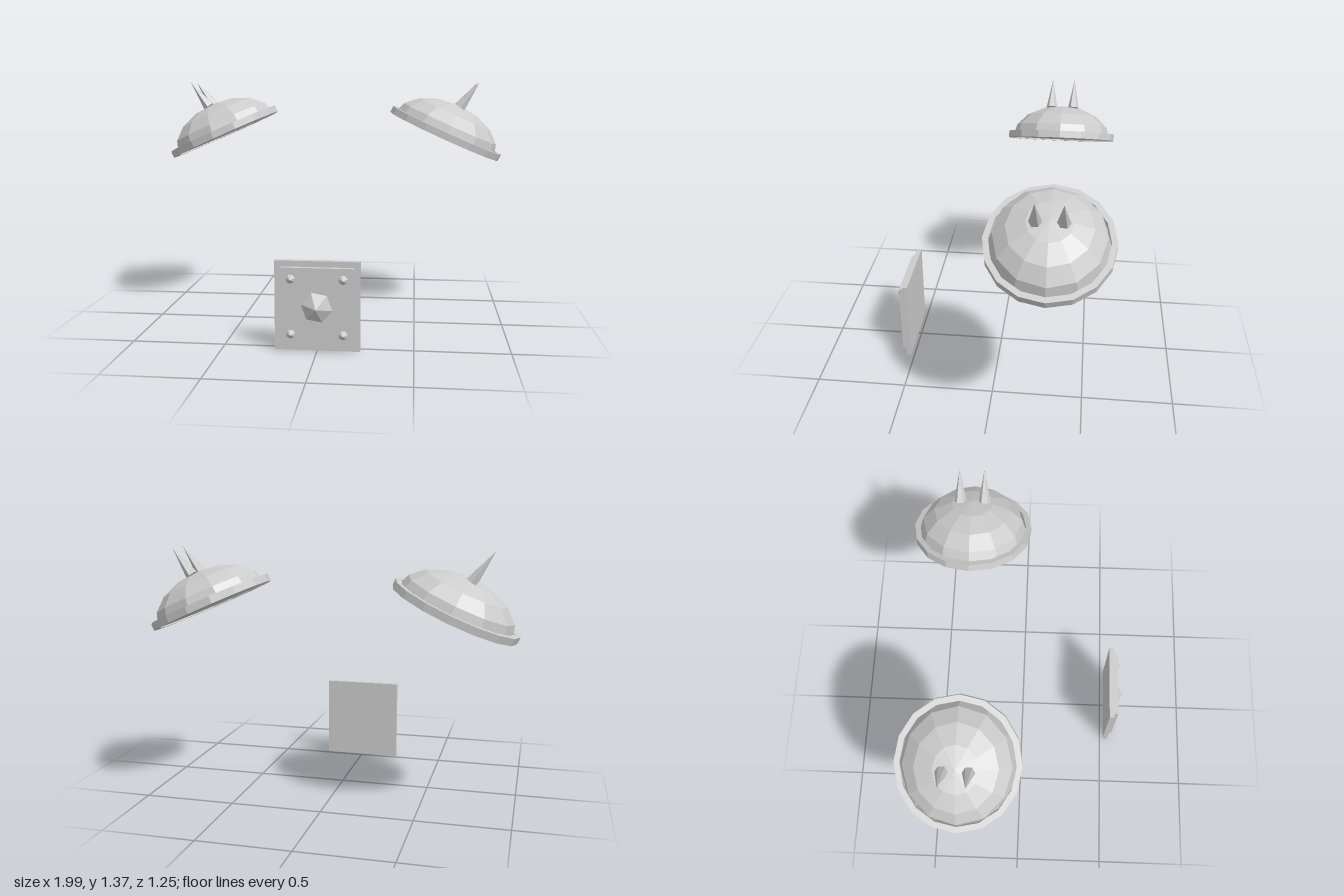
import * as THREE from 'three';

const material = new THREE.MeshStandardMaterial({ color: 0xcccccc, flatShading: true });

function add(parent, name, geometry, x = 0, y = 0, z = 0) {
  const mesh = new THREE.Mesh(geometry, material);
  mesh.name = name;
  mesh.position.set(x, y, z);
  parent.add(mesh);
  return mesh;
}

// Domed shoulder guard on the +x side, centred on z = 0
function createShoulder(name) {
  const shoulder = new THREE.Group();
  shoulder.name = name;

  // Tilted shell, slightly narrower front to back
  const shell = new THREE.Group();
  shell.name = 'shell';
  shell.position.set(0.66, 1.0575, 0);
  shell.rotation.z = THREE.MathUtils.degToRad(-24);
  shell.scale.z = 0.922;
  shoulder.add(shell);

  const dome = add(shell, 'dome', new THREE.SphereGeometry(0.322, 12, 4, 0, Math.PI * 2, 0, Math.PI / 2), 0, 0.008, 0);
  dome.scale.y = 0.6;

  // Square-edged band around the dome
  const band = [[0.318, 0], [0.35, 0], [0.35, 0.04], [0.318, 0.04], [0.318, 0]]
    .map(([r, y]) => new THREE.Vector2(r, y));
  add(shell, 'rim', new THREE.LatheGeometry(band, 16));

  // Closed underside
  const base = new THREE.CircleGeometry(0.322, 32);
  base.rotateX(Math.PI / 2);
  add(shell, 'underside', base, 0, 0.008, 0);

  // Pair of spikes leaning outwards
  for (const z of [-0.066, 0.066]) {
    const geometry = new THREE.ConeGeometry(0.033, 0.18, 6);
    geometry.translate(0, 0.09, 0);
    const spike = add(shoulder, 'spike', geometry, 0.748, 1.23, z);
    spike.rotation.z = -0.635;
  }
  return shoulder;
}

// Cone whose point faces +z, with its base on z = 0
function stud(radius, height, sides) {
  const geometry = new THREE.ConeGeometry(radius, height, sides);
  geometry.translate(0, height / 2, 0);
  geometry.rotateX(Math.PI / 2);
  return geometry;
}

// Stepped square plate with a central boss and corner studs
function createPlate() {
  const plate = new THREE.Group();
  plate.name = 'frontPlate';
  add(plate, 'backPlate', new THREE.BoxGeometry(0.445, 0.475, 0.028), 0, 0.2375, 0.533);
  add(plate, 'raisedPlate', new THREE.BoxGeometry(0.382, 0.414, 0.026), 0, 0.2375, 0.56);

  const boss = add(plate, 'centreBoss', stud(0.083, 0.051, 6), 0, 0.2375, 0.573);
  boss.rotation.z = THREE.MathUtils.degToRad(20);

  for (const x of [-0.136, 0.136]) {
    for (const y of [0.093, 0.385]) add(plate, 'cornerStud', stud(0.025, 0.024, 7), x, y, 0.573);
  }
  return plate;
}

export function createModel() {
  const model = new THREE.Group();
  model.name = 'armourSet';

  const left = createShoulder('leftShoulder');
  left.position.z = -0.3;
  const right = createShoulder('rightShoulder');
  right.position.z = -0.3;
  right.rotation.y = Math.PI;

  model.add(left, right, createPlate());
  return model;
}
